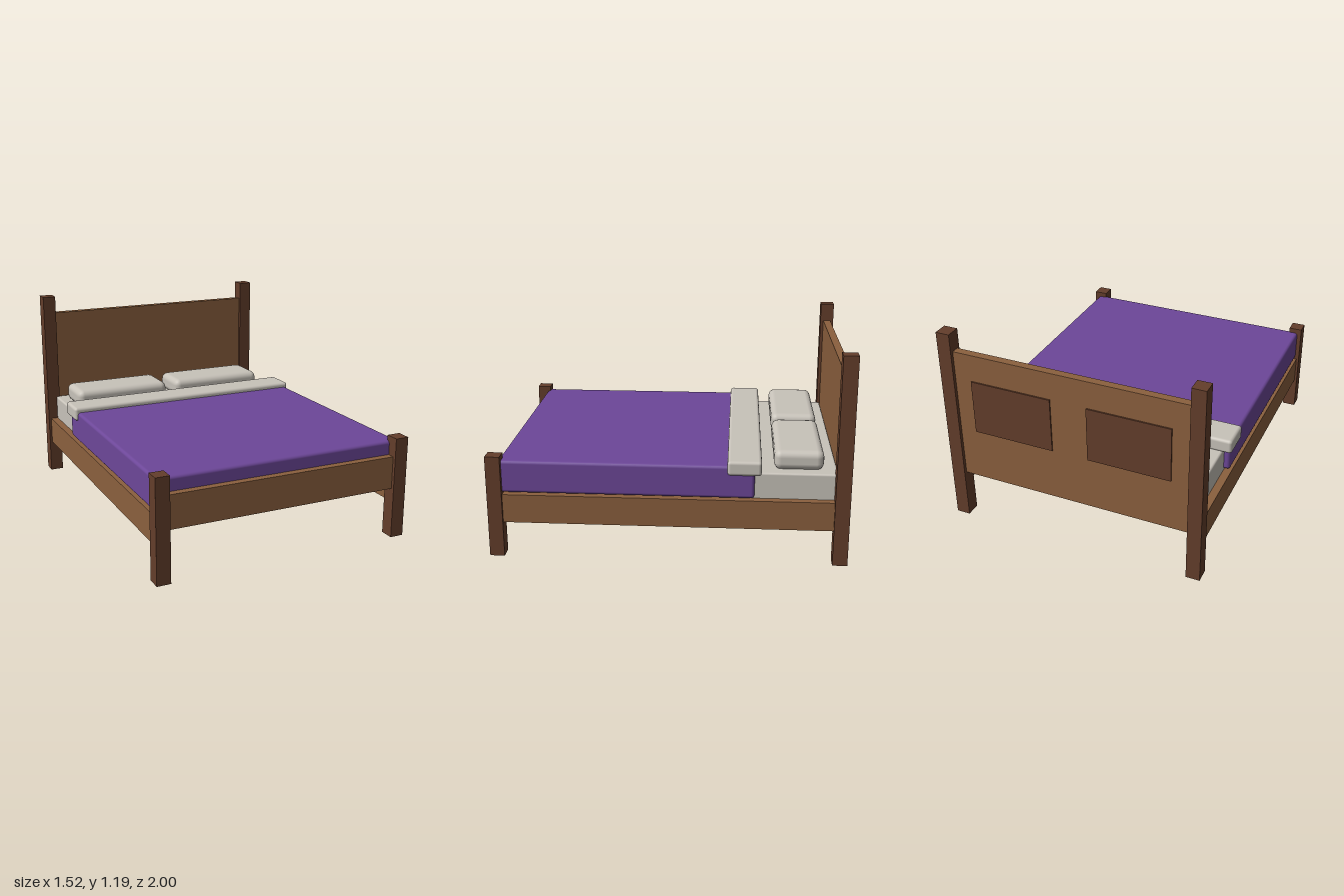
import * as THREE from 'three';
import { RoundedBoxGeometry } from 'three/addons/geometries/RoundedBoxGeometry.js';

const material = (name, color) => {
  const m = new THREE.MeshStandardMaterial({ color });
  m.name = name;
  return m;
};

export function createModel() {
  const bed = new THREE.Group();
  bed.name = 'bed';
  const darkWood = material('darkWood', 0x643e2b);
  const wood = material('wood', 0x8b603e);
  const linen = material('linen', 0xc8c3ba);
  const purple = material('purpleBlanket', 0x6d4799);

  // Box from its limits; a radius gives soft rounded edges
  function block(name, mat, [x0, x1], [y0, y1], [z0, z1], radius = 0) {
    const size = [x1 - x0, y1 - y0, z1 - z0];
    const geometry = radius
      ? new RoundedBoxGeometry(...size, 2, radius)
      : new THREE.BoxGeometry(...size);
    const mesh = new THREE.Mesh(geometry, mat);
    mesh.name = name;
    mesh.position.set((x0 + x1) / 2, (y0 + y1) / 2, (z0 + z1) / 2);
    bed.add(mesh);
  }

  // Mirrored pairs: posts, rails, headboard panels and pillows
  for (const [side, s] of [['left', 1], ['right', -1]]) {
    const span = (a, b) => (s > 0 ? [a, b] : [-b, -a]);
    block(side + 'HeadPost', darkWood, span(0.68, 0.76), [0, 1.19], [-1, -0.917]);
    block(side + 'FootPost', darkWood, span(0.68, 0.76), [0, 0.59], [0.917, 1]);
    block(side + 'Rail', wood, span(0.7, 0.745), [0.2, 0.365], [-0.93, 0.93]);
    block(side + 'HeadboardPanel', darkWood, span(0.105, 0.58), [0.6, 0.92], [-0.988, -0.98]);
    block(side + 'Pillow', linen, span(0.032, 0.645), [0.507, 0.62], [-0.86, -0.585], 0.04);
  }

  // Headboard and footboard
  block('headboard', wood, [-0.69, 0.69], [0.29, 1.08], [-0.98, -0.935]);
  block('footboard', wood, [-0.69, 0.69], [0.29, 0.48], [0.935, 0.98]);

  // Bedding
  block('mattress', linen, [-0.7, 0.7], [0.35, 0.513], [-0.934, 0.934], 0.012);
  block('blanket', purple, [-0.735, 0.735], [0.373, 0.56], [-0.48, 0.938], 0.018);
  block('foldedSheet', linen, [-0.752, 0.747], [0.507, 0.59], [-0.517, -0.33], 0.018);

  return bed;
}
